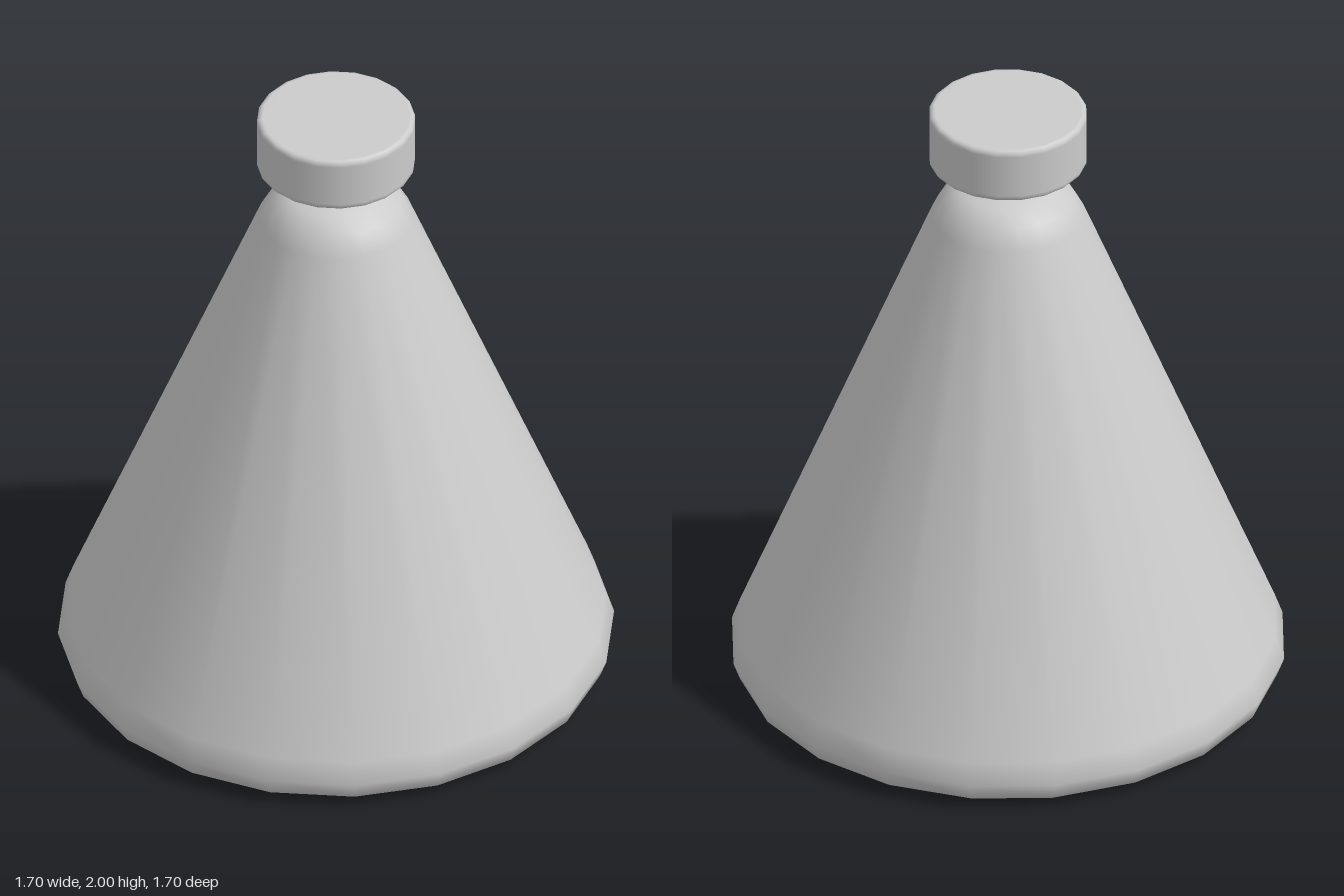
import * as THREE from 'three';

const SIDES = 20;
const material = new THREE.MeshStandardMaterial({ color: 0xcccccc });

// Turned part from [radius, height] pairs, listed from bottom to top
function turned(name, profile) {
  const points = profile.map(([r, y]) => new THREE.Vector2(r, y));
  const mesh = new THREE.Mesh(new THREE.LatheGeometry(points, SIDES), material);
  mesh.name = name;
  return mesh;
}

export function createModel() {
  const group = new THREE.Group();
  group.name = 'conicalFlask';

  // Conical body with rounded base rim and shoulder
  group.add(turned('body', [
    [0, 0], [0.77, 0], [0.785, 0.005], [0.83, 0.035], [0.85, 0.09], [0.825, 0.16],
    [0.235, 1.63], [0.198, 1.695], [0.15, 1.73], [0.075, 1.75], [0, 1.755],
  ]));

  // Short neck between body and cap
  const neck = new THREE.Mesh(
    new THREE.CylinderGeometry(0.075, 0.075, 0.1, SIDES, 1, true), material);
  neck.name = 'neck';
  neck.position.y = 1.785;
  group.add(neck);

  // Disc-shaped cap with slightly softened edges
  group.add(turned('cap', [
    [0, 1.82], [0.225, 1.82], [0.235, 1.822], [0.242, 1.83], [0.242, 1.84],
    [0.242, 1.98], [0.242, 1.99], [0.235, 1.998], [0.225, 2], [0, 2],
  ]));

  return group;
}
